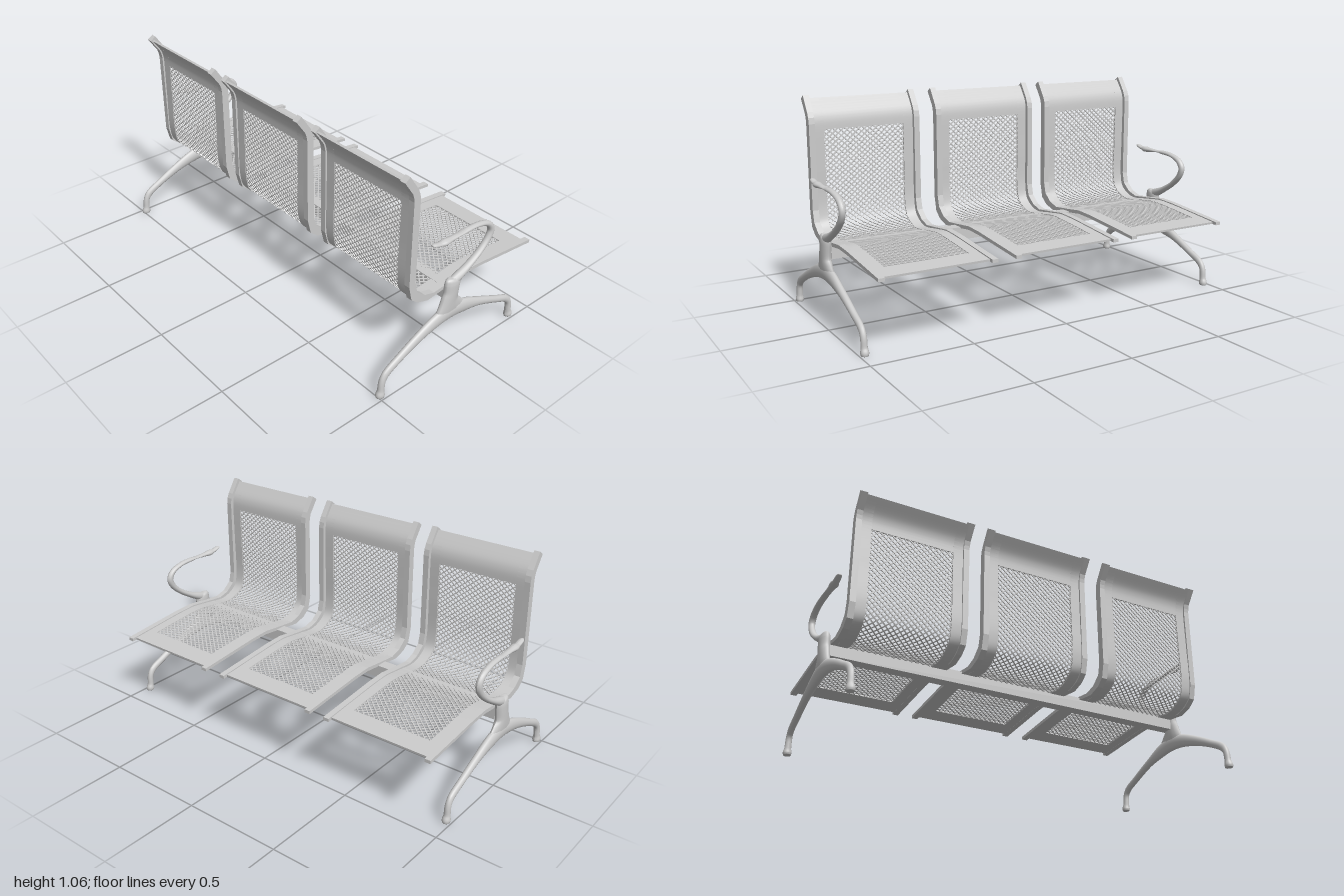
import * as THREE from 'three';
import { mergeGeometries } from 'three/addons/utils/BufferGeometryUtils.js';

const material = new THREE.MeshStandardMaterial({ color: 0xcccccc, side: THREE.DoubleSide });

function part(name, geometry) {
  const mesh = new THREE.Mesh(geometry, material);
  mesh.name = name;
  return mesh;
}

// Side rail edges as [z, y], from the top of the back to the front of the seat
const inner = [[0.349, 1.063], [0.298, 0.987], [0.286, 0.96], [0.281, 0.93], [0.281, 0.72], [0.281, 0.51],
  [0.267, 0.453], [0.217, 0.412], [0.157, 0.395], [0.05, 0.406], [-0.053, 0.418], [-0.155, 0.413], [-0.506, 0.379]];
const outer = [[0.377, 1.043], [0.328, 0.973], [0.321, 0.95], [0.318, 0.93], [0.318, 0.72], [0.318, 0.5],
  [0.3, 0.425], [0.259, 0.392], [0.194, 0.372], [0.05, 0.388], [-0.056, 0.4], [-0.155, 0.396], [-0.506, 0.363]];

// Seat sheet runs between the rail edges
const sheet = new THREE.CatmullRomCurve3(inner.map(([z, y], i) => new THREE.Vector3(
  0, THREE.MathUtils.lerp(y, outer[i][1], 0.65), THREE.MathUtils.lerp(z, outer[i][0], 0.65))), false, 'centripetal');
sheet.arcLengthDivisions = 600;
const LENGTH = sheet.getLength();

// Distance along the sheet at which a test first holds
function distanceWhere(test) {
  for (let i = 0; i <= 600; i++) if (test(sheet.getPointAt(i / 600))) return (i / 600) * LENGTH;
  return LENGTH;
}
const S_TOP = 0.008;
const S_MESH0 = distanceWhere(p => p.y < 0.9);
const S_MESH1 = distanceWhere(p => p.z < -0.38);
const S_FRONT = distanceWhere(p => p.z < -0.48);

// A strip from (xa, sa) to (xb, sb) on the sheet, bent to follow it
function bentStrip(xa, xb, sa, sb, width, thickness, step, offset = 0) {
  const n = Math.max(1, Math.ceil((sb - sa) / step));
  const geo = new THREE.BoxGeometry(width, thickness, 1, 1, 1, n);
  const pos = geo.attributes.position;
  for (let i = 0; i < pos.count; i++) {
    const t = pos.getZ(i) + 0.5;
    const u = THREE.MathUtils.clamp((sa + (sb - sa) * t) / LENGTH, 0, 1);
    const p = sheet.getPointAt(u), d = sheet.getTangentAt(u), h = pos.getY(i) + offset;
    pos.setXYZ(i, pos.getX(i) + xa + (xb - xa) * t, p.y + d.z * h, p.z - d.y * h);
  }
  geo.computeVertexNormals();
  return geo;
}

const HALF = 0.289, RAIL = 0.03, OPEN = 0.21;

// Diamond mesh from two crossing families of strands
function meshGeometry() {
  const pitchX = 0.03, slope = 0.03 / 0.026, span = S_MESH1 - S_MESH0, strands = [];
  for (const dir of [1, -1]) {
    for (let c = -OPEN - slope * span; c < OPEN; c += pitchX) {
      const from = Math.max(0, (-OPEN - c) / slope), to = Math.min(span, (OPEN - c) / slope);
      if (to - from < 0.004) continue;
      strands.push(bentStrip(dir * (c + slope * from), dir * (c + slope * to),
        S_MESH0 + from, S_MESH0 + to, 0.009, 0.005, 0.03, dir * 0.001));
    }
  }
  return mergeGeometries(strands);
}

function railGeometry() {
  const outline = [...inner, ...outer.slice().reverse()].map(([z, y]) => new THREE.Vector2(z, y));
  const geo = new THREE.ExtrudeGeometry(new THREE.Shape(outline), { depth: RAIL, bevelEnabled: false });
  return geo.rotateY(-Math.PI / 2).translate(RAIL / 2, 0, 0);
}

// Oval sweep in the side plane; stations are [z, y, half width in plane, half thickness in x]
function sweep(stations, steps, sides = 14) {
  const path = new THREE.CatmullRomCurve3(stations.map(([z, y]) => new THREE.Vector3(0, y, z)));
  const size = new THREE.CatmullRomCurve3(stations.map(s => new THREE.Vector3(s[2], s[3], 0)));
  const verts = [], index = [];
  for (let i = -1; i <= steps + 1; i++) {
    const t = THREE.MathUtils.clamp(i / steps, 0, 1);
    const p = path.getPoint(t), d = path.getTangent(t), r = size.getPoint(t);
    const k = i < 0 || i > steps ? 0 : 1;
    for (let j = 0; j <= sides; j++) {
      const a = (j / sides) * Math.PI * 2;
      const w = Math.cos(a) * r.x * k;
      verts.push(Math.sin(a) * r.y * k, p.y + d.z * w, p.z - d.y * w);
    }
  }
  const row = sides + 1;
  for (let i = 0; i < steps + 2; i++) {
    for (let j = 0; j < sides; j++) {
      const a = i * row + j, b = a + row;
      index.push(a, a + 1, b, a + 1, b + 1, b);
    }
  }
  const geo = new THREE.BufferGeometry();
  geo.setAttribute('position', new THREE.Float32BufferAttribute(verts, 3));
  geo.setIndex(index);
  geo.computeVertexNormals();
  return geo;
}

const legArch = [[0.487, 0, 0.021, 0.018], [0.487, 0.012, 0.023, 0.02], [0.484, 0.035, 0.017, 0.016],
  [0.477, 0.085, 0.017, 0.015], [0.455, 0.116, 0.02, 0.015], [0.38, 0.158, 0.02, 0.016], [0.26, 0.212, 0.026, 0.018],
  [0.15, 0.248, 0.036, 0.021], [0.065, 0.26, 0.041, 0.022], [-0.02, 0.247, 0.037, 0.021], [-0.14, 0.209, 0.022, 0.018],
  [-0.27, 0.153, 0.018, 0.016], [-0.345, 0.117, 0.019, 0.015], [-0.368, 0.085, 0.016, 0.015],
  [-0.373, 0.035, 0.016, 0.016], [-0.377, 0.012, 0.022, 0.02], [-0.377, 0, 0.02, 0.018]];
const neck = [[0.068, 0.25, 0.11, 0.018], [0.073, 0.29, 0.08, 0.022], [0.075, 0.33, 0.053, 0.024],
  [0.067, 0.37, 0.045, 0.025], [0.063, 0.41, 0.047, 0.025], [0.062, 0.432, 0.044, 0.022], [0.06, 0.443, 0.026, 0.014]];
const arm = [[0.085, 0.415, 0.024, 0.02], [0.03, 0.435, 0.022, 0.021], [-0.03, 0.463, 0.016, 0.019],
  [-0.105, 0.51, 0.014, 0.017], [-0.155, 0.56, 0.016, 0.016], [-0.17, 0.602, 0.017, 0.016], [-0.148, 0.638, 0.015, 0.016],
  [-0.085, 0.663, 0.011, 0.016], [0, 0.669, 0.01, 0.016], [0.09, 0.667, 0.01, 0.016],
  [0.16, 0.668, 0.01, 0.016], [0.2, 0.678, 0.008, 0.014], [0.214, 0.682, 0.004, 0.008]];

export function createModel() {
  const bench = new THREE.Group();
  bench.name = 'threeSeatBench';

  // Three identical seats
  const rail = railGeometry(), diamonds = meshGeometry();
  const border = HALF - RAIL - OPEN, mid = OPEN + border / 2, full = 2 * (HALF - RAIL);
  const sideStrip = bentStrip(0, 0, S_TOP, S_FRONT, border + 0.004, 0.01, 0.02);
  const topBand = bentStrip(0, 0, S_TOP, S_MESH0, full, 0.01, 0.015);
  const frontBand = bentStrip(0, 0, S_MESH1, S_FRONT, full, 0.01, 0.03);
  for (const x of [-0.666, -0.007, 0.666]) {
    const seat = new THREE.Group();
    seat.name = 'seat';
    seat.position.x = x;
    for (const side of [-1, 1]) {
      const railMesh = part('sideRail', rail);
      railMesh.position.x = side * (HALF - RAIL / 2);
      const strip = part('sideBorder', sideStrip);
      strip.position.x = side * mid;
      seat.add(railMesh, strip);
    }
    seat.add(part('topBand', topBand), part('frontBand', frontBand), part('diamondMesh', diamonds));
    bench.add(seat);
  }

  // Beam carrying the seats
  const beam = part('beam', new THREE.BoxGeometry(1.92, 0.065, 0.06));
  beam.position.set(0, 0.362, 0.063);
  bench.add(beam);

  // End frames: arched legs, neck and armrest
  const archGeo = sweep(legArch, 64), neckGeo = sweep(neck, 24), armGeo = sweep(arm, 60);
  for (const side of [-1, 1]) {
    const frame = new THREE.Group();
    frame.name = side > 0 ? 'leftEndFrame' : 'rightEndFrame';
    frame.position.x = side * 0.975;
    frame.add(part('legs', archGeo), part('neck', neckGeo), part('armrest', armGeo));
    bench.add(frame);
  }
  return bench;
}
